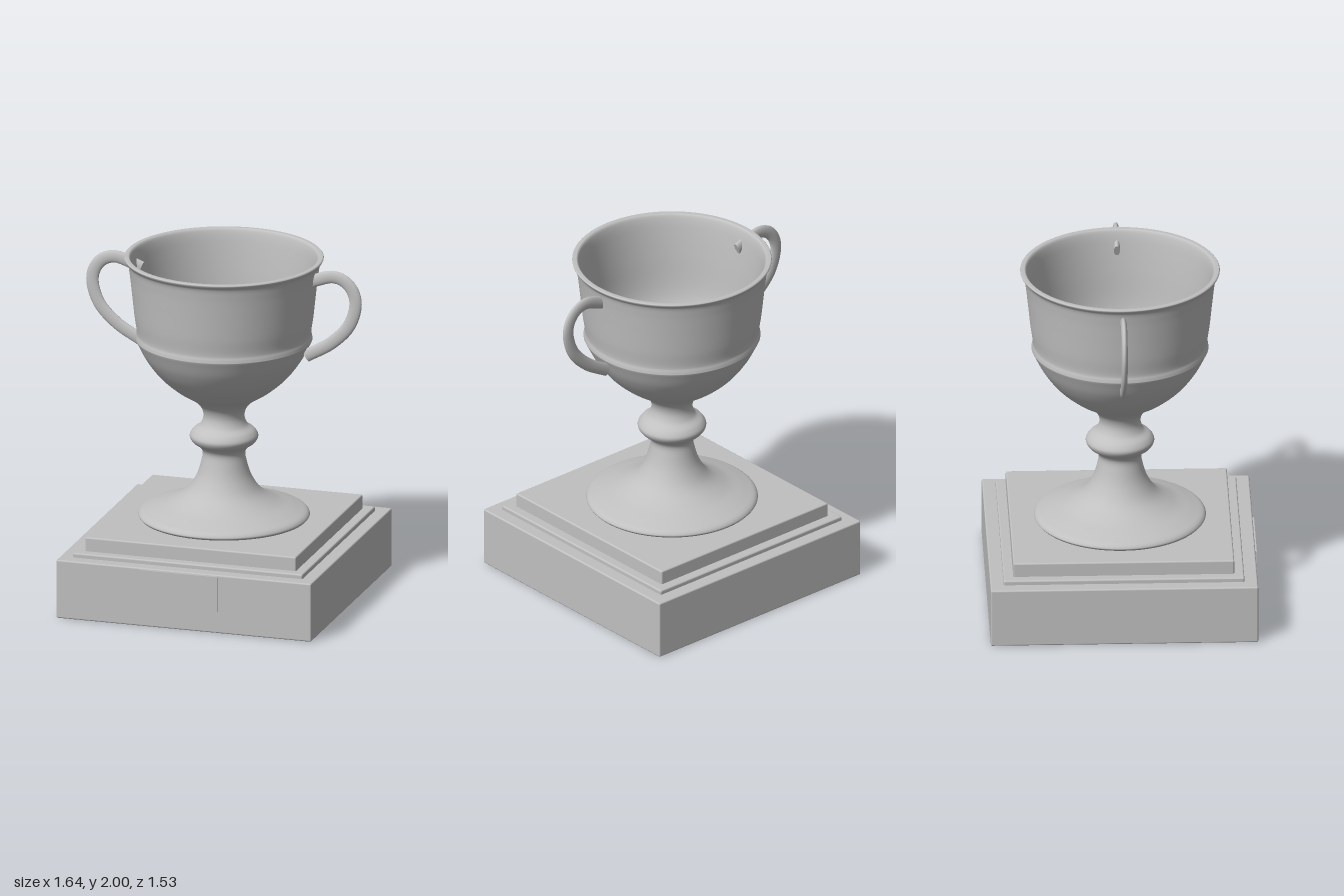
import * as THREE from 'three';
import { RoundedBoxGeometry } from 'three/addons/geometries/RoundedBoxGeometry.js';

const Z0 = -0.006; // cup and plinth axis, set back by the plaque thickness

const grey = new THREE.MeshStandardMaterial({ color: 0xc0c0c0 });
grey.name = 'silver grey';

function add(parent, name, geometry, x = 0, y = 0, z = 0) {
  const mesh = new THREE.Mesh(geometry, grey);
  mesh.name = name;
  mesh.position.set(x, y, z);
  parent.add(mesh);
  return mesh;
}

// Smooth profile through [radius, height] pairs
function smooth(pairs, samples) {
  const points = pairs.map(([r, y]) => new THREE.Vector3(r, y, 0));
  return new THREE.CatmullRomCurve3(points, false, 'centripetal')
    .getPoints(samples)
    .map((p) => new THREE.Vector2(Math.max(p.x, 0), p.y));
}

function makeHandle() {
  const handle = new THREE.Group();
  const radius = 0.037;
  const path = new THREE.CatmullRomCurve3([
    [0.49, 1.885], [0.55, 1.909], [0.646, 1.936], [0.715, 1.918], [0.765, 1.865],
    [0.784, 1.785], [0.746, 1.656], [0.64, 1.543], [0.488, 1.452],
  ].map(([x, y]) => new THREE.Vector3(x, y, 0)), false, 'centripetal');
  add(handle, 'handleTube', new THREE.TubeGeometry(path, 64, radius, 20));

  // Flat ends
  for (const t of [0, 1]) {
    const end = path.getPointAt(t);
    const outward = path.getTangentAt(t).multiplyScalar(t ? 1 : -1);
    const cap = add(handle, 'handleEnd', new THREE.CircleGeometry(radius, 20), end.x, end.y, 0);
    cap.quaternion.setFromUnitVectors(new THREE.Vector3(0, 0, 1), outward);
  }
  handle.scale.z = 0.48; // oval section
  handle.position.z = Z0;
  return handle;
}

export function createModel() {
  const model = new THREE.Group();
  model.name = 'trophy';

  // Stepped square plinth: name, width, bottom, top
  for (const [name, width, bottom, top] of [
    ['plinthBlock', 1.52, 0, 0.345],
    ['plinthStep', 1.368, 0.335, 0.371],
    ['plinthTop', 1.256, 0.36, 0.453],
  ]) {
    const box = new RoundedBoxGeometry(width, top - bottom, width, 3, 0.009);
    add(model, name, box, 0, (bottom + top) / 2, Z0);
  }

  // Foot, stem with knop, and bowl up to the ridge
  const lower = smooth([
    [0.478, 0.455], [0.488, 0.468], [0.476, 0.487], [0.42, 0.51], [0.31, 0.55], [0.215, 0.61],
    [0.16, 0.69], [0.13, 0.78], [0.122, 0.84], [0.14, 0.872], [0.18, 0.902], [0.195, 0.935],
    [0.178, 0.968], [0.135, 1.002], [0.117, 1.05], [0.128, 1.1], [0.17, 1.148],
    [0.26, 1.205], [0.365, 1.295], [0.445, 1.4], [0.496, 1.498],
  ], 140);
  // Ridge, wall and flared rim
  const wall = smooth([
    [0.503, 1.512], [0.5, 1.53], [0.496, 1.55], [0.509, 1.65], [0.525, 1.8],
    [0.538, 1.91], [0.549, 1.965], [0.564, 1.985], [0.567, 1.994], [0.562, 2],
  ], 60);
  // Inside of the cup
  const inside = smooth([
    [0.542, 2], [0.534, 1.992], [0.524, 1.96], [0.512, 1.88], [0.498, 1.75], [0.48, 1.55],
    [0.46, 1.47], [0.41, 1.375], [0.33, 1.29], [0.22, 1.22], [0.11, 1.185], [0, 1.175],
  ], 60);
  const profile = [new THREE.Vector2(0, 0.455), ...lower, ...wall, ...inside];
  add(model, 'cup', new THREE.LatheGeometry(profile, 96), 0, 0, Z0);

  // Pair of handles
  const left = makeHandle();
  left.name = 'leftHandle';
  const right = makeHandle();
  right.name = 'rightHandle';
  right.rotation.y = Math.PI;
  model.add(left, right);

  // Blank plaque with four pins
  const face = Z0 + 0.76;
  add(model, 'plaque', new THREE.BoxGeometry(0.466, 0.206, 0.009), -0.026, 0.233, face + 0.0045);
  for (const x of [-0.239, 0.187]) {
    for (const y of [0.147, 0.311]) {
      const pin = add(model, 'plaquePin', new THREE.CylinderGeometry(0.008, 0.008, 0.004, 12), x, y, face + 0.009);
      pin.rotation.x = Math.PI / 2;
    }
  }
  return model;
}
